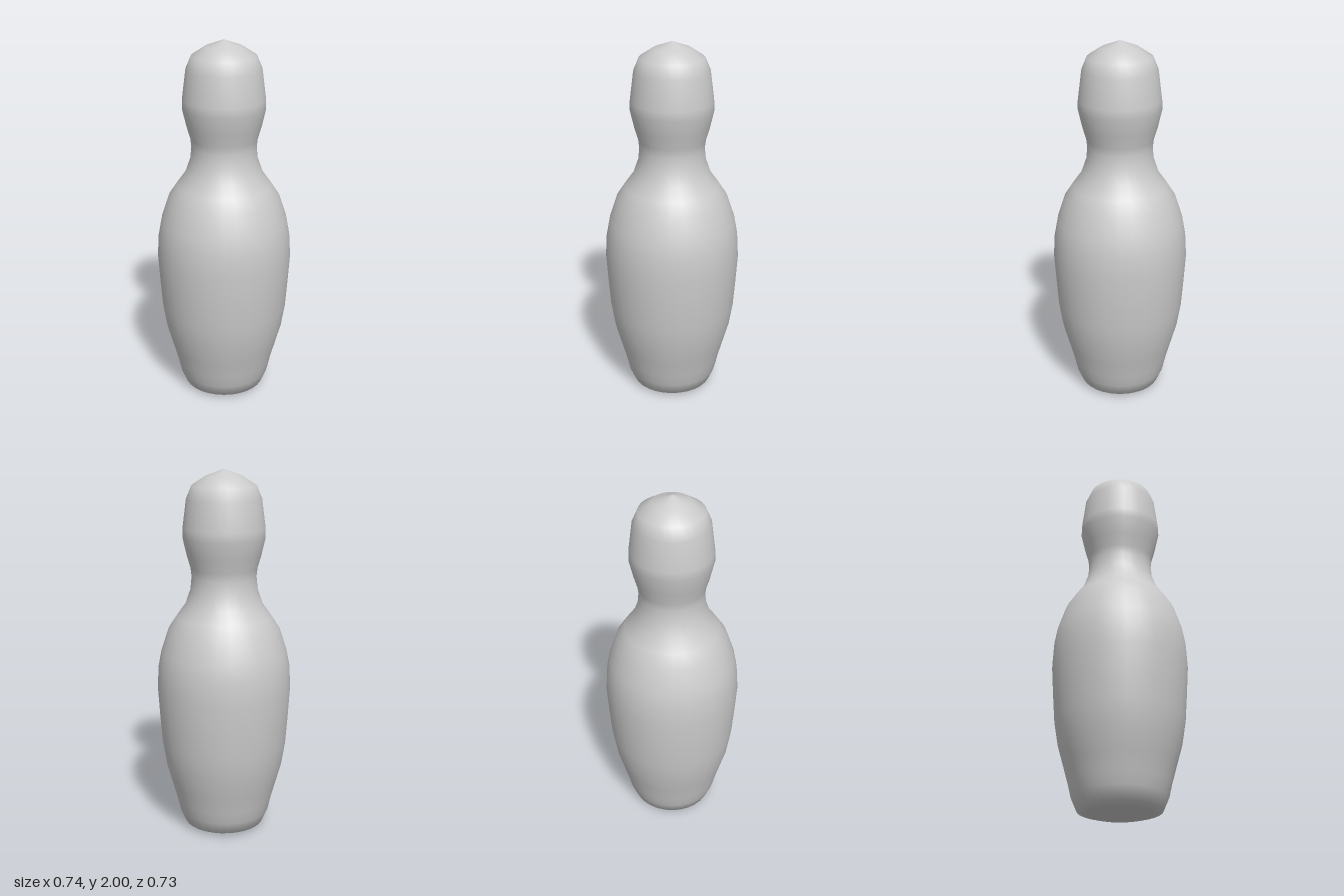
import * as THREE from 'three';

export function createModel() {
  const group = new THREE.Group();
  group.name = 'bowlingPin';

  // Profile as [radius, height], from the base centre up to the crown
  const profile = [
    [0, 0], [0.17, 0.005], [0.222, 0.02], [0.252, 0.09], [0.268, 0.16],
    [0.294, 0.255], [0.326, 0.37], [0.347, 0.5], [0.358, 0.65], [0.368, 0.81],
    [0.361, 0.93], [0.344, 1.02], [0.302, 1.146], [0.257, 1.215], [0.21, 1.28],
    [0.182, 1.36], [0.175, 1.43], [0.18, 1.475], [0.2, 1.544], [0.222, 1.64],
    [0.221, 1.69], [0.201, 1.846], [0.172, 1.915], [0.1, 1.963], [0, 2],
  ].map(([r, y]) => new THREE.Vector2(r, y));

  // Body, neck and head are one turned piece with 30 sides
  const pin = new THREE.Mesh(
    new THREE.LatheGeometry(profile, 30, Math.PI / 2),
    new THREE.MeshStandardMaterial({ color: 0xcccccc })
  );
  pin.name = 'pinBody';
  group.add(pin);
  return group;
}
